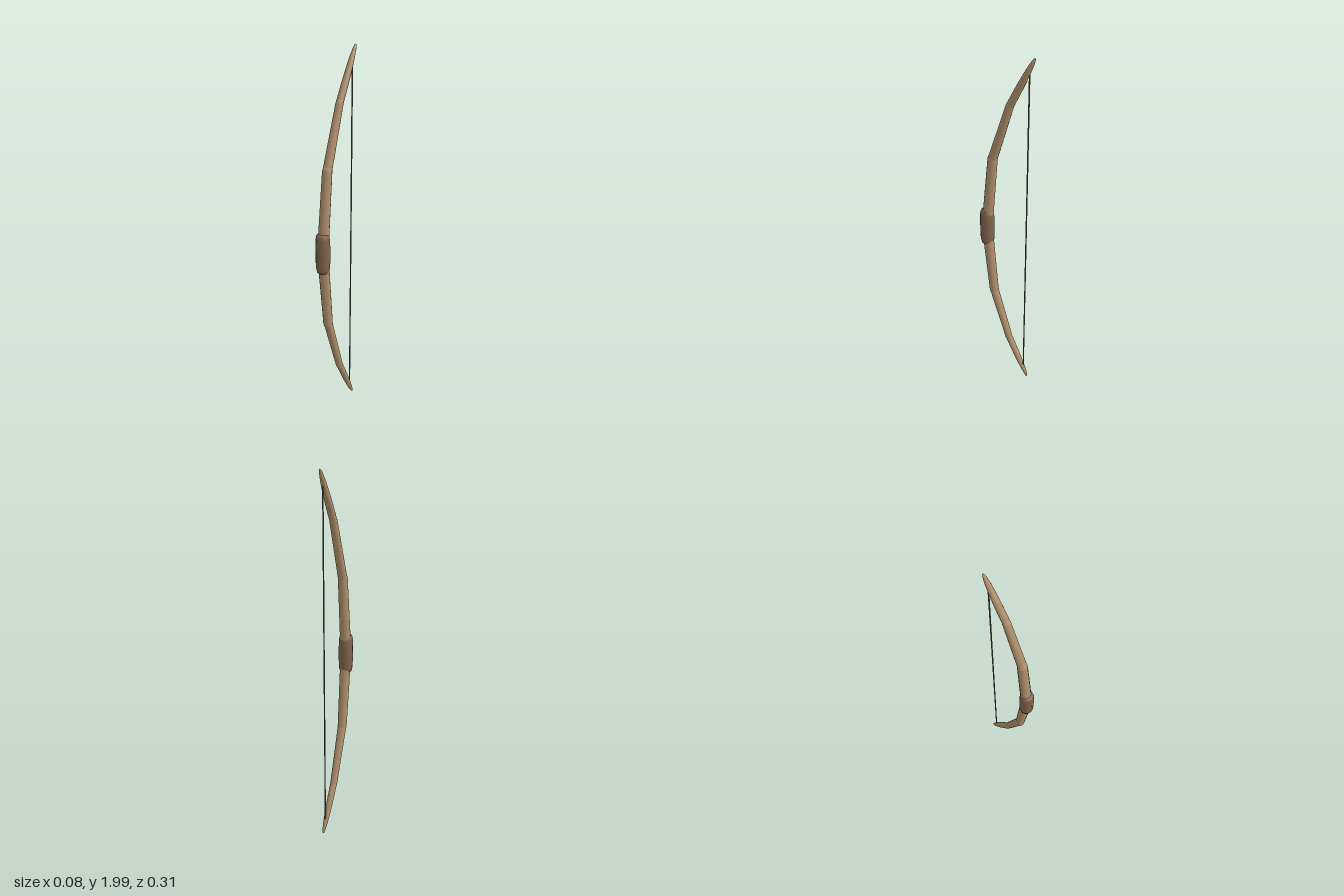
import * as THREE from 'three';

const wood = new THREE.MeshStandardMaterial({ color: 0xb0906c });
const leather = new THREE.MeshStandardMaterial({ color: 0x80644e });
const cord = new THREE.MeshStandardMaterial({ color: 0x606060 });
const UP = new THREE.Vector3(0, 1, 0);
const MID = 1.005;

// Lathe from [radius, height] pairs
function turned(name, pairs, material, sides = 14) {
  const points = pairs.map(([r, y]) => new THREE.Vector2(r, y));
  const mesh = new THREE.Mesh(new THREE.LatheGeometry(points, sides), material);
  mesh.name = name;
  return mesh;
}

// Tapered rod with rounded ends between two [y, z] points
function rod(name, a, b, ra, rb, pointed) {
  const from = new THREE.Vector3(0, a[0], a[1]);
  const dir = new THREE.Vector3(0, b[0], b[1]).sub(from);
  const length = dir.length();
  const pairs = [];
  for (let i = 0; i <= 4; i++) {
    const t = (i / 4) * Math.PI / 2;
    pairs.push([ra * Math.sin(t), -ra * Math.cos(t)]);
  }
  if (pointed) {
    // slender tip that rounds off at the end
    for (const [k, h] of [[0.98, 0.3], [0.88, 0.55], [0.7, 0.77], [0.48, 0.91], [0.28, 0.975], [0, 1]]) {
      pairs.push([ra * k, length * h]);
    }
  } else {
    for (let i = 0; i <= 4; i++) {
      const t = (i / 4) * Math.PI / 2;
      pairs.push([i === 4 ? 0 : rb * Math.cos(t), length + 1.5 * rb * Math.sin(t)]);
    }
  }
  const mesh = turned(name, pairs, wood);
  mesh.position.copy(from);
  mesh.quaternion.setFromUnitVectors(UP, dir.normalize());
  return mesh;
}

// One limb of three rods, bending back toward the string
function limb(name) {
  const group = new THREE.Group();
  group.name = name;
  const root = [0, 0.117], elbow = [0.42, 0.077], bend = [0.735, -0.023], tip = [0.995, -0.152];
  group.add(
    rod('innerLimb', root, elbow, 0.029, 0.025),
    rod('middleLimb', elbow, bend, 0.0235, 0.0195),
    rod('limbTip', bend, tip, 0.0185, 0, true)
  );
  group.position.y = MID;
  return group;
}

export function createModel() {
  const bow = new THREE.Group();
  bow.name = 'bow';

  const upper = limb('upperLimb');
  const lower = limb('lowerLimb');
  lower.rotation.z = Math.PI;
  bow.add(upper, lower);

  // Wrapped grip with softened rims
  const grip = turned('grip', [
    [0, -0.107], [0.025, -0.107], [0.032, -0.1], [0.036, -0.08], [0.0375, -0.04],
    [0.0375, 0.04], [0.036, 0.08], [0.032, 0.1], [0.025, 0.107], [0, 0.107]
  ], leather, 12);
  grip.position.set(0, MID, 0.116);
  bow.add(grip);

  // String between the two tips
  const string = new THREE.Mesh(new THREE.CylinderGeometry(0.0035, 0.0035, 1.86, 8), cord);
  string.name = 'string';
  string.position.set(0, MID, -0.125);
  bow.add(string);

  return bow;
}
